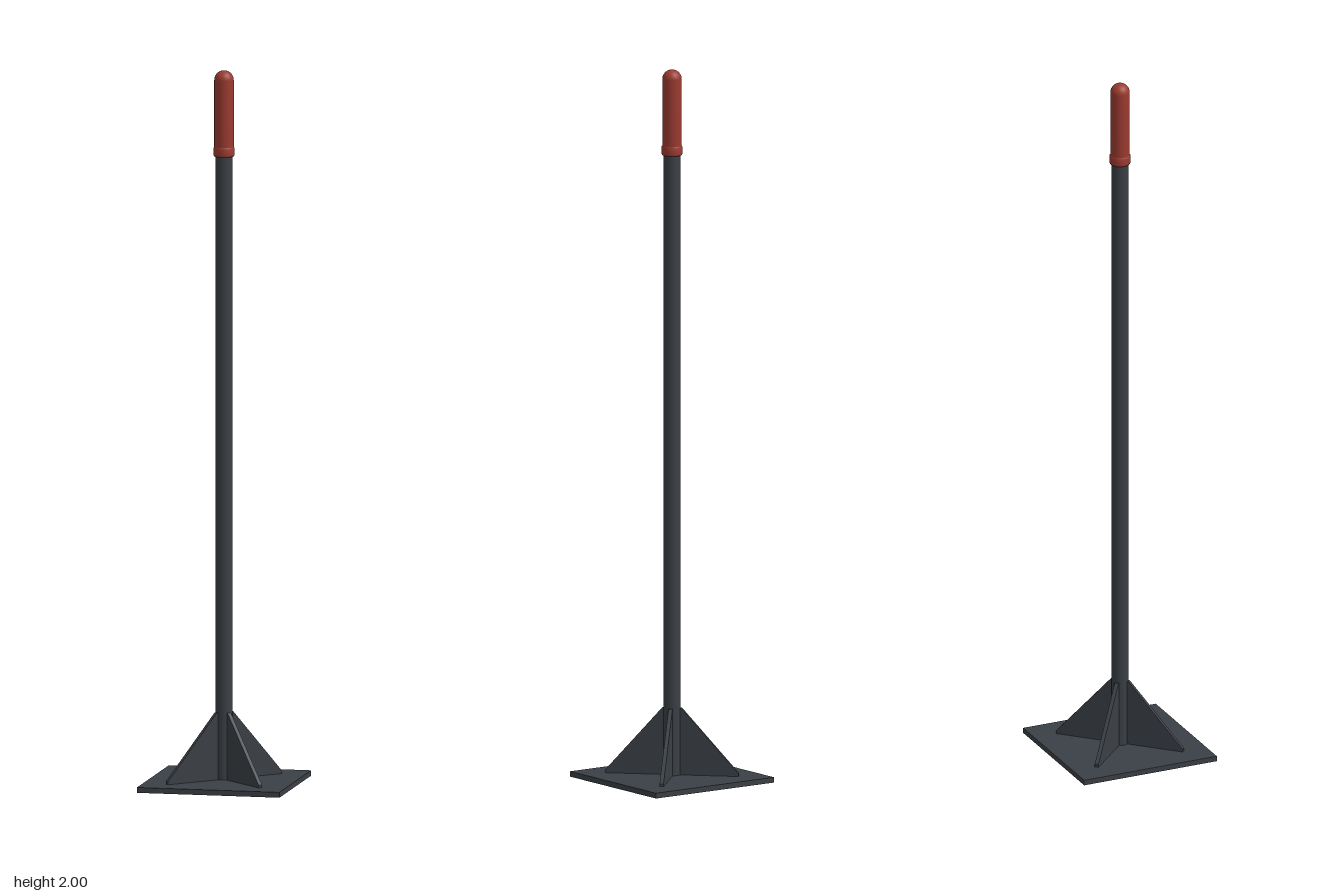
import * as THREE from 'three';

export function createModel() {
  const model = new THREE.Group();
  const steel = new THREE.MeshStandardMaterial({ color: 0x3b4046 });
  steel.name = 'dark steel';
  const red = new THREE.MeshStandardMaterial({ color: 0x9c3b30 });
  red.name = 'red rubber';

  const add = (name, geometry, material, y = 0) => {
    const mesh = new THREE.Mesh(geometry, material);
    mesh.name = name;
    mesh.position.y = y;
    model.add(mesh);
    return mesh;
  };

  // Square floor plate
  const plateTop = 0.015;
  add('basePlate', new THREE.BoxGeometry(0.404, plateTop, 0.404), steel, plateTop / 2);

  // Round upright
  const poleTop = 1.8;
  add('pole', new THREE.CylinderGeometry(0.024, 0.024, poleTop - plateTop, 32), steel, (poleTop + plateTop) / 2);

  // Four triangular gussets on the diagonals
  const thickness = 0.011;
  const profile = new THREE.Shape([
    [0.015, plateTop], [0.187, plateTop], [0.187, 0.023], [0.027, 0.203], [0.015, 0.203],
  ].map(([x, y]) => new THREE.Vector2(x, y)));
  const gusset = new THREE.ExtrudeGeometry(profile, { depth: thickness, bevelEnabled: false });
  gusset.translate(0, 0, -thickness / 2);
  for (let i = 0; i < 4; i++) {
    add('gusset', gusset, steel).rotation.y = Math.PI / 4 + i * Math.PI / 2;
  }

  // Grip sleeve with a rounded top
  const grip = new THREE.Path();
  grip.moveTo(0.023, 1.76);
  grip.lineTo(0.027, 1.76);
  grip.lineTo(0.027, 1.973);
  grip.absarc(0, 1.973, 0.027, 0, Math.PI / 2, false);
  const points = grip.getPoints(10);
  points[points.length - 1].x = 0;
  add('grip', new THREE.LatheGeometry(points, 32), red);

  // Raised collar at the lower end of the grip
  const collar = [
    [0.023, 1.76], [0.0275, 1.76], [0.0295, 1.764], [0.0295, 1.782], [0.0265, 1.787],
  ].map(([x, y]) => new THREE.Vector2(x, y));
  add('gripCollar', new THREE.LatheGeometry(collar, 32), red);

  return model;
}
